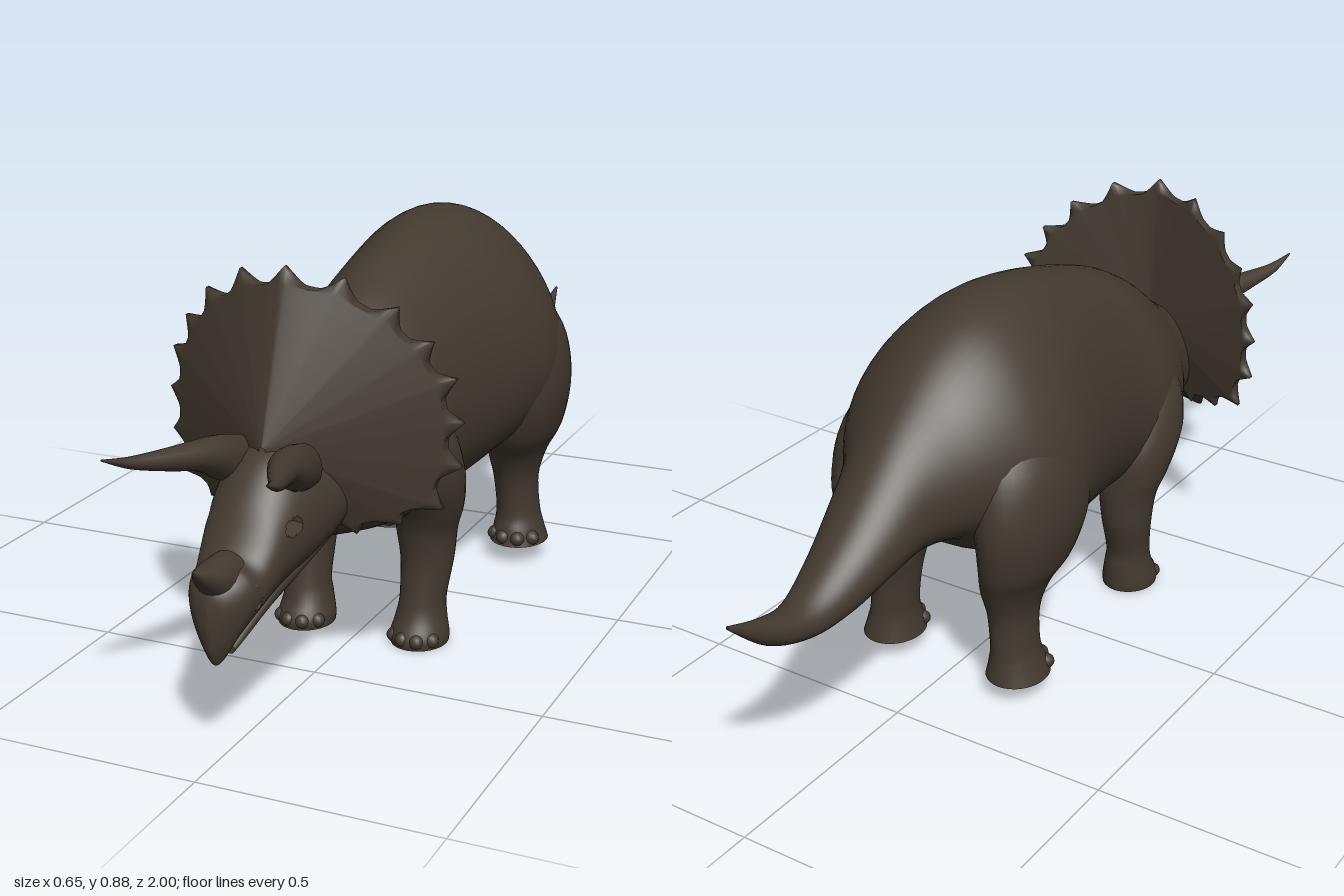
import * as THREE from 'three';

const hide = new THREE.MeshStandardMaterial({ color: 0x433a30, side: THREE.DoubleSide });
hide.name = 'dark brown hide';

// Smooth value through neighbouring control values
function cubic(a, b, c, d, t) {
  const m0 = (c - a) / 2, m1 = (d - b) / 2, t2 = t * t, t3 = t2 * t;
  return (2 * t3 - 3 * t2 + 1) * b + (t3 - 2 * t2 + t) * m0 + (3 * t2 - 2 * t3) * c + (t3 - t2) * m1;
}

function refine(rows, steps) {
  const at = (i) => rows[Math.min(rows.length - 1, Math.max(0, i))];
  const out = [];
  for (let i = 0; i < rows.length - 1; i++)
    for (let s = 0; s < steps; s++)
      out.push(at(i).map((v, k) => cubic(at(i - 1)[k], v, at(i + 1)[k], at(i + 2)[k], s / steps)));
  out.push(at(rows.length - 1));
  return out;
}

function geometryFrom(pos, idx) {
  const g = new THREE.BufferGeometry();
  g.setAttribute('position', new THREE.Float32BufferAttribute(pos, 3));
  g.setIndex(idx);
  g.computeVertexNormals();
  return g;
}

// Rows are [x, y, z, halfWidth, halfDepth, egg]; ovals stand in y, or lie in z when upright.
// A positive egg narrows the top of the oval, a negative one the bottom.
function loft(rows, { upright = false, n = 32, steps = 5, hole = null } = {}) {
  const pos = [], idx = [];
  const rings = refine(rows, steps);
  for (const [x, y, z, a, b, egg = 0] of rings)
    for (let j = 0; j < n; j++) {
      const t = (j / n) * Math.PI * 2, s = Math.sin(t);
      const u = Math.max(a, 0.001) * Math.cos(t) * (1 - egg * s), v = Math.max(b, 0.001) * s;
      pos.push(x + u, upright ? y : y + v, upright ? z + v : z);
    }
  for (let i = 0; i < rings.length - 1; i++)
    for (let j = 0; j < n; j++) {
      const a = i * n + j, b = i * n + (j + 1) % n, c = b + n, d = a + n;
      if (hole && hole((pos[a * 3 + 1] + pos[c * 3 + 1]) / 2, (pos[a * 3 + 2] + pos[c * 3 + 2]) / 2)) continue;
      idx.push(a, b, c, a, c, d);
    }
  // End caps with their own corners, so the rims stay crisp
  for (const end of [0, rings.length - 1]) {
    const base = pos.length / 3;
    pos.push(...rings[end].slice(0, 3), ...pos.slice(end * n * 3, (end + 1) * n * 3));
    for (let j = 0; j < n; j++) {
      const a = base + 1 + j, b = base + 1 + (j + 1) % n;
      idx.push(base, ...(end ? [a, b] : [b, a]));
    }
  }
  return geometryFrom(pos, idx);
}

// Rows given as [z, top, bottom, halfWidth, egg]
const profile = (rows) => rows.map(([z, t, b, w, egg]) => [0, (t + b) / 2, z, w, (t - b) / 2, egg]);

// Dished shield whose rim rises into a thorn at each tip
function frillGeometry() {
  const half = [[0.11, 0.865], [0.205, 0.81], [0.268, 0.742], [0.31, 0.668], [0.323, 0.58],
    [0.32, 0.49], [0.285, 0.405], [0.21, 0.372], [0.13, 0.352]];
  const tips = [[0, 0.885], ...half, [0, 0.42], ...half.map(([x, y]) => [-x, y]).reverse()];
  const cy = 0.55, per = 14, rim = [];
  tips.forEach((p, i) => {
    const q = tips[(i + 1) % tips.length];
    for (let s = 0; s < per; s++) {
      const t = s / per, d = Math.min(t, 1 - t);
      const f = Math.pow(Math.max(0, 1 - d / 0.38), 1.35);
      rim.push([p[0] + (q[0] - p[0]) * t, p[1] + (q[1] - p[1]) * t - cy, f]);
    }
  });
  const n = rim.length, levels = [0.02, 0.2, 0.35, 0.5, 0.65, 0.8, 0.9, 1], pos = [], idx = [];
  for (const back of [false, true]) {
    const base = pos.length / 3;
    for (const s of levels)
      for (const [x, y, f] of rim) {
        const k = s === 1 ? 0.905 + 0.095 * f : s;
        const edge = 0.6 - 0.11 * Math.pow(Math.abs(x) / 0.32, 1.3) - (back ? 0.012 : 0);
        const apex = back ? 0.56 : 0.71;
        pos.push(x * k, cy + y * k, apex + (edge - apex) * k);
      }
    for (let i = 0; i < levels.length - 1; i++)
      for (let j = 0; j < n; j++) {
        const a = base + i * n + j, b = base + i * n + (j + 1) % n, c = b + n, d = a + n;
        idx.push(...(back ? [a, b, c, a, c, d] : [a, c, b, a, d, c]));
      }
  }
  // Narrow band closing the rim
  const f0 = (levels.length - 1) * n, b0 = f0 + levels.length * n;
  for (let j = 0; j < n; j++) {
    const k = (j + 1) % n;
    idx.push(f0 + j, b0 + j, b0 + k, f0 + j, b0 + k, f0 + k);
  }
  return geometryFrom(pos, idx);
}

export function createModel() {
  const model = new THREE.Group();
  model.name = 'hornedDinosaur';
  const add = (name, geometry, parent = model) => {
    const m = new THREE.Mesh(geometry, hide);
    m.name = name;
    parent.add(m);
    return m;
  };

  // Trunk running smoothly into the tail
  add('bodyAndTail', loft(profile([
    [-1, 0.48, 0.472, 0.003, 0], [-0.9, 0.446, 0.385, 0.026, 0], [-0.8, 0.432, 0.352, 0.05, 0.05],
    [-0.7, 0.485, 0.358, 0.073, 0.1], [-0.6, 0.57, 0.382, 0.095, 0.12], [-0.5, 0.67, 0.402, 0.122, 0.15],
    [-0.4, 0.765, 0.39, 0.19, 0.2], [-0.3, 0.828, 0.32, 0.246, 0.22], [-0.2, 0.858, 0.285, 0.264, 0.24],
    [-0.1, 0.862, 0.275, 0.25, 0.22], [0, 0.848, 0.262, 0.23, 0.2], [0.1, 0.825, 0.255, 0.214, 0.18],
    [0.2, 0.795, 0.25, 0.206, 0.18], [0.3, 0.757, 0.262, 0.208, 0.2], [0.4, 0.7, 0.28, 0.183, 0.18],
    [0.5, 0.625, 0.305, 0.14, 0.1], [0.62, 0.55, 0.34, 0.11, 0],
  ]), { n: 48 }));

  // Upper skull with beak and open eye sockets
  const eye = (y, z) => ((y - 0.428 + (z - 0.755) * 0.3) / 0.015) ** 2 + ((z - 0.755) / 0.022) ** 2 < 1;
  add('skull', loft(profile([
    [0.5, 0.55, 0.36, 0.1, 0], [0.58, 0.565, 0.335, 0.125, 0.1], [0.66, 0.56, 0.31, 0.117, 0.1],
    [0.72, 0.54, 0.295, 0.104, 0.06], [0.78, 0.482, 0.28, 0.09, 0], [0.84, 0.4, 0.26, 0.076, -0.1],
    [0.88, 0.385, 0.225, 0.064, -0.3], [0.907, 0.37, 0.195, 0.047, -0.45], [0.927, 0.345, 0.225, 0.026, -0.45],
    [0.936, 0.31, 0.27, 0.004, 0],
  ]), { n: 120, steps: 16, hole: eye }));
  add('lowerJaw', loft(profile([
    [0.55, 0.4, 0.33, 0.09, 0], [0.65, 0.375, 0.303, 0.085, -0.1], [0.72, 0.35, 0.27, 0.07, -0.15],
    [0.77, 0.32, 0.247, 0.055, -0.2], [0.81, 0.275, 0.222, 0.036, -0.2], [0.852, 0.213, 0.195, 0.01, 0],
  ])));
  add('noseHorn', loft([
    [0, 0.355, 0.85, 0.045, 0.048], [0, 0.365, 0.905, 0.038, 0.04],
    [0, 0.384, 0.945, 0.022, 0.021], [0, 0.405, 0.978, 0.002, 0.002],
  ], { n: 20 }));
  add('neckFrill', frillGeometry());

  for (const s of [1, -1]) {
    const side = s > 0 ? 'left' : 'right';

    // Brow horn, hooking forward and outward
    add(side + 'BrowHorn', loft([
      [0.068, 0.515, 0.66, 0.036, 0.046], [0.078, 0.534, 0.73, 0.04, 0.046],
      [0.09, 0.555, 0.79, 0.034, 0.031], [0.116, 0.566, 0.86, 0.025, 0.022],
      [0.147, 0.58, 0.935, 0.014, 0.012], [0.165, 0.603, 1, 0.002, 0.002],
    ].map(([x, ...r]) => [x * s, ...r]), { n: 20 }));

    // Raised nostril rim
    const nostril = add(side + 'Nostril', new THREE.TorusGeometry(0.016, 0.005, 8, 20));
    nostril.position.set(s * 0.064, 0.325, 0.864);
    nostril.rotation.y = s * 1.15;
    nostril.scale.set(0.7, 1.3, 1);

    // Legs, listed from the top down to the sole
    const legs = {
      FrontLeg: [
        [0.1, 0.6, 0.32, 0.05, 0.06], [0.13, 0.5, 0.305, 0.085, 0.09],
        [0.148, 0.42, 0.288, 0.085, 0.105], [0.152, 0.36, 0.265, 0.08, 0.102],
        [0.148, 0.3, 0.243, 0.073, 0.083], [0.14, 0.25, 0.232, 0.065, 0.072],
        [0.14, 0.18, 0.23, 0.057, 0.063], [0.137, 0.1, 0.245, 0.05, 0.055],
        [0.135, 0.06, 0.25, 0.054, 0.06], [0.135, 0.02, 0.26, 0.063, 0.07],
        [0.135, 0, 0.26, 0.062, 0.069],
      ],
      HindLeg: [
        [0.12, 0.68, -0.25, 0.06, 0.09], [0.16, 0.57, -0.25, 0.1, 0.15],
        [0.183, 0.45, -0.25, 0.097, 0.172], [0.178, 0.34, -0.262, 0.083, 0.145],
        [0.16, 0.27, -0.276, 0.065, 0.103], [0.155, 0.2, -0.28, 0.05, 0.072],
        [0.16, 0.12, -0.283, 0.05, 0.063], [0.163, 0.08, -0.28, 0.058, 0.07],
        [0.165, 0.045, -0.279, 0.068, 0.078],
      ],
    };
    for (const [name, rows] of Object.entries(legs)) {
      const leg = new THREE.Group();
      leg.name = side + name;
      model.add(leg);
      add('limb', loft(rows.map(([x, ...r]) => [x * s, ...r]), { upright: true }), leg);
      const [x, y, z, a, b] = rows[rows.length - 1];
      for (const t of [-0.9, -0.3, 0.3, 0.9]) {
        const toe = add('toe', new THREE.SphereGeometry(0.018, 14, 10), leg);
        toe.position.set(x * s + a * 0.8 * Math.sin(t), y + 0.018, z + b * 0.8 * Math.cos(t));
        toe.rotation.y = t;
        toe.scale.z = 1.25;
      }
    }
  }
  return model;
}
